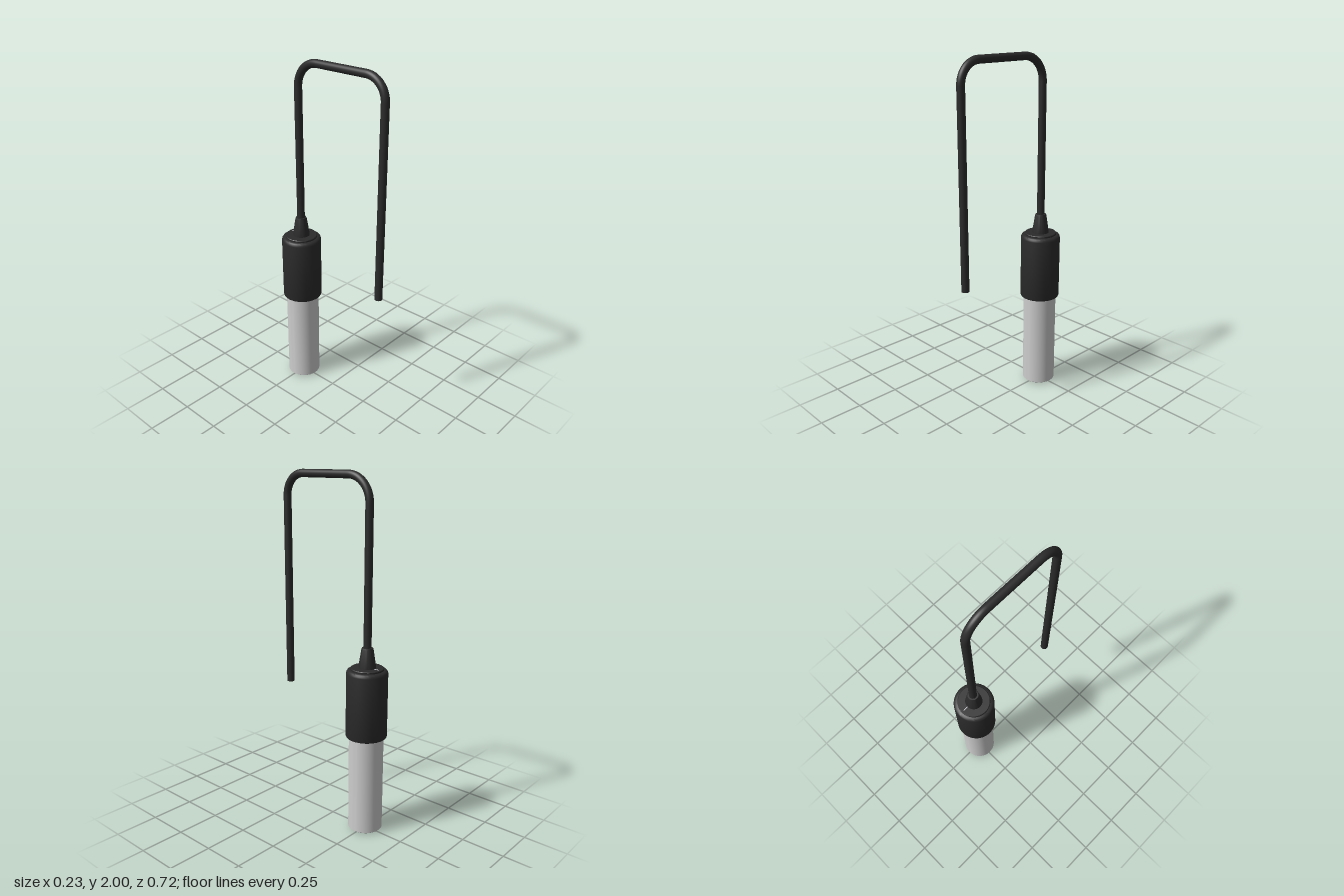
import * as THREE from 'three';
import { toCreasedNormals } from 'three/addons/utils/BufferGeometryUtils.js';

const AXIS_Z = -0.247; // centre line of the probe
const CABLE_R = 0.022;

function material(name, color) {
  const m = new THREE.MeshStandardMaterial({ color });
  m.name = name;
  return m;
}

// Turned part from a [radius, height] profile, listed bottom to top
function turned(name, profile, mat) {
  const points = profile.map(([r, y]) => new THREE.Vector2(r, y));
  const geometry = toCreasedNormals(new THREE.LatheGeometry(points, 64), 0.6);
  const mesh = new THREE.Mesh(geometry, mat);
  mesh.name = name;
  mesh.position.z = AXIS_Z;
  return mesh;
}

const at = (y, z) => new THREE.Vector3(0, y, z);

// Quarter bend from a to b, rounding the given corner
function bend(a, corner, b) {
  const k = 0.5523;
  return new THREE.CubicBezierCurve3(a, a.clone().lerp(corner, k), b.clone().lerp(corner, k), b);
}

export function createModel() {
  const black = material('black rubber', 0x2b2b2b);
  const grey = material('light grey', 0xcdcdcd);
  const white = material('white mark', 0xe8e8f0);

  const model = new THREE.Group();
  model.name = 'probe';

  // Light sensing tube with a small nub underneath
  model.add(turned('tube', [
    [0, 0.008], [0.093, 0.008], [0.097, 0.012], [0.097, 0.58], [0, 0.58],
  ], grey));
  model.add(turned('bottomNub', [
    [0, 0], [0.012, 0], [0.014, 0.002], [0.014, 0.012],
  ], grey));

  // Dark housing with rounded edges
  model.add(turned('housing', [
    [0, 0.567], [0.109, 0.567], [0.113, 0.569], [0.115, 0.574],
    [0.115, 0.936], [0.113, 0.945], [0.108, 0.952], [0.1, 0.956], [0, 0.956],
  ], black));
  model.add(turned('topDisc', [
    [0.092, 0.95], [0.092, 0.964], [0.089, 0.967], [0, 0.967],
  ], black));

  // Tapered strain relief around the cable
  model.add(turned('strainRelief', [
    [0.049, 0.96], [0.048, 0.975], [0.033, 1.07], [0.03, 1.078], [0, 1.078],
  ], black));

  // Thin alignment mark on the top disc
  const mark = new THREE.Mesh(new THREE.BoxGeometry(0.004, 0.003, 0.038), white);
  mark.name = 'alignmentMark';
  mark.position.set(0, 0.9675, -0.306);
  model.add(mark);

  // Cable: up from the probe, across and down at the front
  const top = 2 - CABLE_R, frontZ = 0.339, end = 0.763;
  const rBack = 0.14, rFront = 0.12;
  const p = [
    at(1.0, AXIS_Z), at(top - rBack, AXIS_Z),
    at(top, AXIS_Z + rBack), at(top, frontZ - rFront),
    at(top - rFront, frontZ), at(end, frontZ),
  ];
  const path = new THREE.CurvePath();
  path.add(new THREE.LineCurve3(p[0], p[1]));
  path.add(bend(p[1], at(top, AXIS_Z), p[2]));
  path.add(new THREE.LineCurve3(p[2], p[3]));
  path.add(bend(p[3], at(top, frontZ), p[4]));
  path.add(new THREE.LineCurve3(p[4], p[5]));
  const cable = new THREE.Mesh(new THREE.TubeGeometry(path, 200, CABLE_R, 24), black);
  cable.name = 'cable';
  model.add(cable);

  // Cut end of the cable
  const cap = new THREE.Mesh(new THREE.CircleGeometry(CABLE_R, 24), black);
  cap.name = 'cableEnd';
  cap.rotation.x = Math.PI / 2;
  cap.position.set(0, end, frontZ);
  model.add(cap);

  return model;
}
